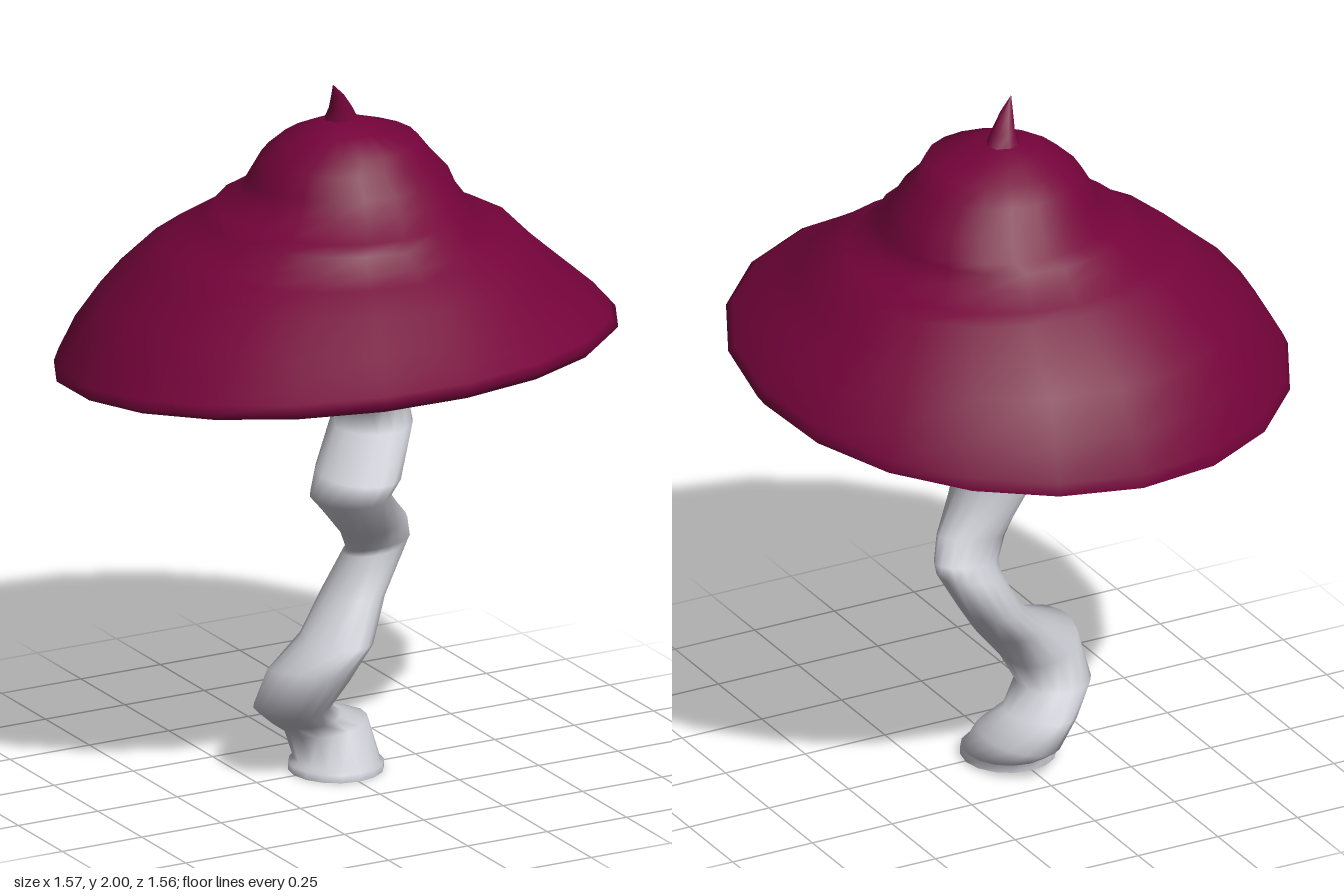
import * as THREE from 'three';

// Skins a stack of tilted elliptical rings.
// Ring: [xLow, xHigh, zLow, zHigh, centre y, rise towards +x, rise towards +z]
function loft(rings, sides) {
  const positions = [], index = [];
  for (const [x0, x1, z0, z1, y, tx, tz] of rings) {
    for (let j = 0; j < sides; j++) {
      const c = Math.cos((j / sides) * Math.PI * 2);
      const s = Math.sin((j / sides) * Math.PI * 2);
      positions.push(
        (x0 + x1) / 2 + ((x1 - x0) / 2) * c,
        y + tx * c + tz * s,
        (z0 + z1) / 2 + ((z1 - z0) / 2) * s
      );
    }
  }
  for (let i = 0; i < rings.length - 1; i++) {
    for (let j = 0; j < sides; j++) {
      const a = i * sides + j, b = i * sides + ((j + 1) % sides);
      index.push(a, a + sides, b, b, a + sides, b + sides);
    }
  }
  const geometry = new THREE.BufferGeometry();
  geometry.setAttribute('position', new THREE.Float32BufferAttribute(positions, 3));
  geometry.setIndex(index);
  geometry.computeVertexNormals();
  return geometry;
}

function part(name, geometry, color) {
  const material = new THREE.MeshStandardMaterial({ color, side: THREE.DoubleSide });
  const mesh = new THREE.Mesh(geometry, material);
  mesh.name = name;
  return mesh;
}

export function createModel() {
  const group = new THREE.Group();
  group.name = 'mushroom';
  const capColor = 0x74033a;

  // Zigzag stalk, from the flat foot to inside the cap
  const foot = [-0.13, 0.135, -0.14, 0.13];
  group.add(part('stalk', loft([
    [0, 0, 0, 0, 0, 0, 0],
    [...foot, 0, 0, 0],
    [...foot, 0, 0, 0],
    [...foot, 0.022, 0, 0],
    [-0.105, 0.13, -0.15, 0.11, 0.028, 0, 0],
    [-0.085, 0.135, -0.24, 0.03, 0.1, 0.02, 0.01],
    [-0.16, 0.04, -0.19, 0.04, 0.145, 0.01, 0],
    [-0.24, -0.03, -0.12, 0.1, 0.2, 0, 0],
    [-0.225, 0, -0.08, 0.175, 0.305, -0.03, 0.025],
    [-0.1, 0.09, -0.11, 0.135, 0.385, -0.005, 0],
    [0, 0.17, -0.155, 0.045, 0.485, 0, 0],
    [0.06, 0.25, -0.135, 0.012, 0.605, 0.01, 0],
    [0.05, 0.243, -0.085, 0.03, 0.63, 0.01, 0],
    [0.02, 0.22, -0.075, 0.065, 0.695, 0.015, -0.01],
    [-0.105, 0.11, -0.05, 0.2, 0.82, 0.005, 0],
    [-0.07, 0.16, -0.09, 0.18, 0.87, -0.005, -0.005],
    [0.04, 0.265, -0.2, 0.05, 0.965, 0, 0],
    [0.05, 0.265, -0.205, 0, 1.035, 0.01, 0],
    [-0.1, 0.2, -0.14, 0.13, 1.11, 0, 0],
    [-0.235, 0.13, -0.05, 0.26, 1.195, 0, 0],
    [-0.24, 0.06, 0.01, 0.31, 1.265, 0, 0],
    [-0.25, 0.04, 0.04, 0.32, 1.42, 0, 0],
    [-0.26, 0.06, 0.02, 0.31, 1.62, 0, 0],
  ], 16), 0xc8c8d0));

  // Lopsided tiered cap, from the inner lip up to the crown
  group.add(part('cap', loft([
    [-0.74, 0.74, -0.755, 0.71, 1.222, 0.024, 0.076],
    [-0.77, 0.77, -0.77, 0.745, 1.222, 0.025, 0.082],
    [-0.785, 0.785, -0.78, 0.78, 1.238, 0.03, 0.098],
    [-0.77, 0.77, -0.77, 0.755, 1.263, 0.028, 0.088],
    [-0.72, 0.73, -0.73, 0.7, 1.33, 0.02, 0.05],
    [-0.65, 0.66, -0.66, 0.64, 1.405, 0.01, 0.015],
    [-0.54, 0.6, -0.58, 0.54, 1.48, -0.01, 0.005],
    [-0.48, 0.53, -0.485, 0.455, 1.542, 0, 0],
    [-0.41, 0.47, -0.455, 0.4, 1.567, 0, 0],
    [-0.362, 0.392, -0.385, 0.375, 1.607, -0.007, 0.005],
    [-0.325, 0.372, -0.365, 0.35, 1.64, 0, 0],
    [-0.25, 0.355, -0.33, 0.27, 1.67, 0, 0.01],
    [-0.235, 0.33, -0.285, 0.25, 1.72, 0, 0.01],
    [-0.195, 0.275, -0.24, 0.2, 1.785, 0, 0],
    [-0.15, 0.235, -0.195, 0.19, 1.828, 0.002, 0],
    [-0.09, 0.13, -0.11, 0.1, 1.865, 0.002, 0],
    [-0.02, 0.08, -0.07, 0.03, 1.883, 0, 0],
    [0.03, 0.03, -0.02, -0.02, 1.885, 0, 0],
  ], 20), capColor));

  // Bent spike on the crown
  group.add(part('tip', loft([
    [-0.02, 0.085, -0.075, 0.015, 1.875, 0, 0],
    [-0.01, 0.06, -0.05, 0.012, 1.915, 0, 0],
    [-0.015, 0.025, -0.015, 0.014, 1.96, 0, 0],
    [-0.018, -0.018, 0.015, 0.015, 2, 0, 0],
  ], 8), capColor));

  // Hollow underside, a thin shell below the tiers from the crown down to the lip
  group.add(part('underside', loft([
    [0.02, 0.02, -0.02, -0.02, 1.84, 0, 0],
    [-0.11, 0.17, -0.13, 0.12, 1.81, 0, 0],
    [-0.19, 0.28, -0.24, 0.2, 1.72, 0, 0],
    [-0.23, 0.33, -0.31, 0.25, 1.64, 0, 0.01],
    [-0.33, 0.36, -0.36, 0.33, 1.585, 0, 0],
    [-0.45, 0.49, -0.46, 0.42, 1.525, 0, 0],
    [-0.53, 0.57, -0.56, 0.51, 1.46, -0.01, 0.005],
    [-0.63, 0.64, -0.645, 0.61, 1.38, 0.005, 0.015],
    [-0.7, 0.71, -0.715, 0.665, 1.305, 0.018, 0.045],
    [-0.74, 0.74, -0.755, 0.71, 1.222, 0.024, 0.076],
  ], 20), 0xc49a96));

  return group;
}
